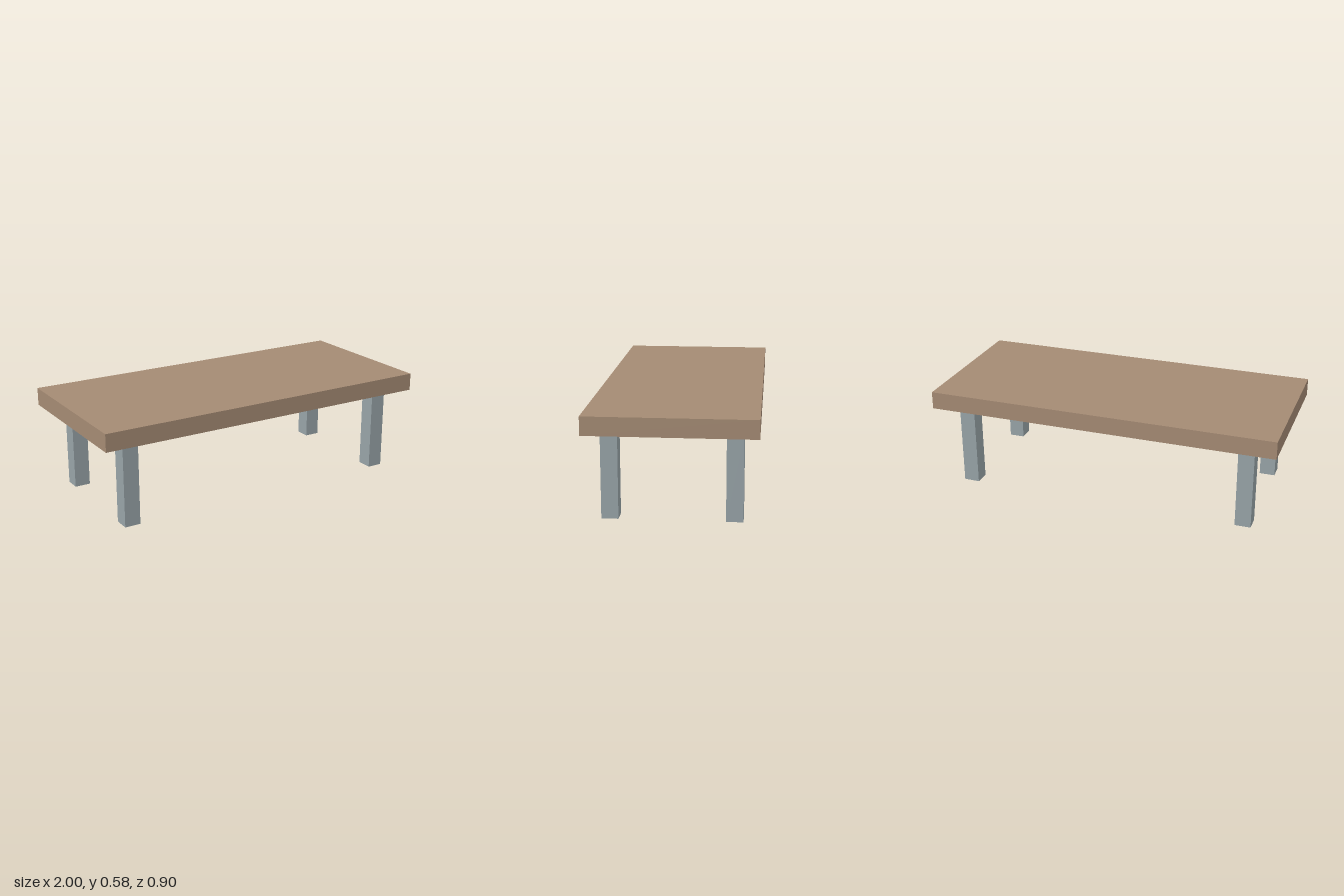
import * as THREE from 'three';

export function createModel() {
  const table = new THREE.Group();
  table.name = 'table';

  const wood = new THREE.MeshStandardMaterial({ color: 0xa48a73 });
  wood.name = 'brown wood';
  const metal = new THREE.MeshStandardMaterial({ color: 0x97a3a7 });
  metal.name = 'grey metal';

  const legHeight = 0.478, topThickness = 0.1, legWidth = 0.09;

  // Table top
  const top = new THREE.Mesh(new THREE.BoxGeometry(2, topThickness, 0.9), wood);
  top.name = 'tableTop';
  top.position.y = legHeight + topThickness / 2;
  table.add(top);

  // Four square legs, inset from the corners
  const legGeometry = new THREE.BoxGeometry(legWidth, legHeight, legWidth);
  for (const [zName, z] of [['front', 1], ['back', -1]]) {
    for (const [xName, x] of [['Left', 1], ['Right', -1]]) {
      const leg = new THREE.Mesh(legGeometry, metal);
      leg.name = `${zName}${xName}Leg`;
      leg.position.set(x * 0.825, legHeight / 2, z * 0.325);
      table.add(leg);
    }
  }

  return table;
}
